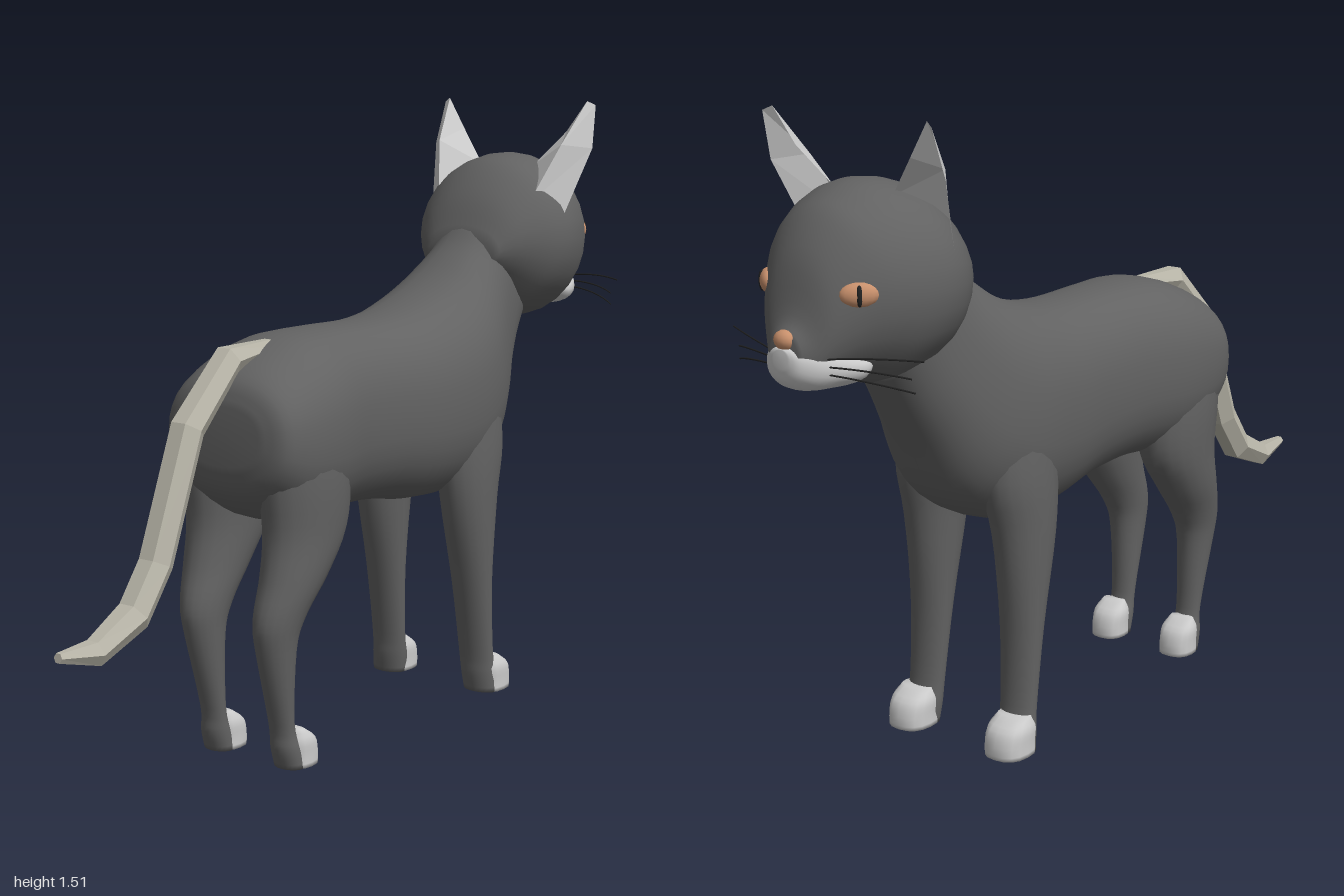
import * as THREE from 'three';

const V = (x, y, z) => new THREE.Vector3(x, y, z);
const mat = (color, extra = {}) => new THREE.MeshStandardMaterial({ color, ...extra });
const FUR = mat(0x626262), LIGHT = mat(0xcccccc), DARK = mat(0x222222);
const TAN = mat(0xc8906c), TAIL = mat(0xb8b5a8, { flatShading: true });
const EAR = mat(0xcccccc, { flatShading: true, side: THREE.DoubleSide });

// Closed skin over rings {c, u, v}: centre and two half axes; e < 1 makes the section boxier.
function loft(rings, { seg = 28, steps = 4, e = 1 } = {}) {
  const curves = ['c', 'u', 'v'].map(k => new THREE.CatmullRomCurve3(rings.map(r => r[k])));
  const n = (rings.length - 1) * steps, pos = [], idx = [];
  // uniform parameter so that centre and axes stay in step
  curves.forEach(k => { k.curveType = 'catmullrom'; });
  const pw = a => Math.sign(a) * Math.pow(Math.abs(a), e);
  for (let i = 0; i <= n; i++) {
    const [c, u, v] = curves.map(k => k.getPoint(i / n));
    for (let j = 0; j < seg; j++) {
      const a = (j / seg) * Math.PI * 2;
      pos.push(...c.clone().addScaledVector(u, pw(Math.cos(a))).addScaledVector(v, pw(Math.sin(a))).toArray());
    }
  }
  for (let i = 0; i < n; i++) for (let j = 0; j < seg; j++) {
    const a = i * seg + j, b = i * seg + (j + 1) % seg;
    idx.push(a, b, b + seg, a, b + seg, a + seg);
  }
  // end caps
  for (const [i, flip] of [[0, true], [n, false]]) {
    const m = pos.length / 3;
    pos.push(...curves[0].getPoint(i / n).toArray());
    for (let j = 0; j < seg; j++) {
      const a = i * seg + j, b = i * seg + (j + 1) % seg;
      idx.push(m, flip ? b : a, flip ? a : b);
    }
  }
  // turn the faces outward
  const p = i => V(pos[i * 3], pos[i * 3 + 1], pos[i * 3 + 2]);
  let vol = 0;
  for (let t = 0; t < idx.length; t += 3) vol += p(idx[t]).dot(p(idx[t + 1]).cross(p(idx[t + 2])));
  if (vol < 0) idx.reverse();
  const g = new THREE.BufferGeometry();
  g.setAttribute('position', new THREE.Float32BufferAttribute(pos, 3));
  g.setIndex(idx);
  g.computeVertexNormals();
  return g;
}

// Ring across the body: top z, y, bottom z, y, half width
const across = ([zt, yt, zb, yb, w]) => ({
  c: V(0, (yt + yb) / 2, (zt + zb) / 2), u: V(w, 0, 0), v: V(0, (yt - yb) / 2, (zt - zb) / 2),
});
// Upright ring for heads: z, top, bottom, half width
const upright = ([z, t, b, w]) => across([z, t, z, b, w]);
// Level ring for legs: y, front z, back z, inner x, outer x, on side s
const level = s => ([y, zf, zb, xi, xo]) => ({
  c: V(s * (xi + xo) / 2, y, (zf + zb) / 2), u: V((xo - xi) / 2, 0, 0), v: V(0, 0, (zb - zf) / 2),
});

export function createModel() {
  const model = new THREE.Group();
  const add = (name, geo, material, parent = model) => {
    const m = new THREE.Mesh(geo, material);
    m.name = name;
    parent.add(m);
    return m;
  };

  // Trunk and neck
  add('body', loft([
    [0.46, 0.86, 0.462, 0.72, 0.11], [0.435, 0.92, 0.44, 0.65, 0.175], [0.36, 0.967, 0.36, 0.585, 0.2],
    [0.25, 1.0, 0.24, 0.56, 0.204], [0.1, 1.003, 0.1, 0.565, 0.182], [-0.05, 1.0, -0.05, 0.555, 0.178],
    [-0.18, 1.01, -0.2, 0.53, 0.193], [-0.3, 1.04, -0.36, 0.53, 0.203], [-0.38, 1.075, -0.47, 0.575, 0.19],
    [-0.44, 1.115, -0.54, 0.64, 0.165], [-0.49, 1.155, -0.6, 0.75, 0.137], [-0.53, 1.2, -0.66, 0.85, 0.118],
    [-0.58, 1.25, -0.72, 0.95, 0.11],
  ].map(across), { seg: 36, e: 0.85 }), FUR);

  // Head
  const head = new THREE.Group();
  head.name = 'head';
  model.add(head);
  add('skull', loft([
    [-0.51, 1.17, 1.08, 0.1], [-0.56, 1.27, 1.03, 0.155], [-0.63, 1.345, 0.965, 0.205],
    [-0.7, 1.37, 0.945, 0.222], [-0.77, 1.37, 0.937, 0.21], [-0.83, 1.348, 0.955, 0.185],
    [-0.88, 1.312, 0.965, 0.15], [-0.93, 1.23, 0.965, 0.105], [-0.96, 1.12, 0.97, 0.07],
    [-0.985, 1.08, 0.99, 0.04],
  ].map(upright)), FUR, head);
  add('muzzle', loft([
    [-0.82, 1.03, 0.99, 0.1], [-0.86, 1.045, 0.96, 0.122], [-0.91, 1.055, 0.955, 0.108],
    [-0.955, 1.06, 0.958, 0.078], [-0.985, 1.055, 0.98, 0.045], [-0.995, 1.05, 1.01, 0.02],
  ].map(upright), { e: 0.9 }), LIGHT, head);
  const nose = add('nose', new THREE.SphereGeometry(1, 12, 8), TAN, head);
  nose.scale.set(0.027, 0.022, 0.02);
  nose.position.set(0, 1.068, -0.98);

  for (const s of [1, -1]) {
    const side = s > 0 ? 'left' : 'right';

    // Ear: a folded leaf, open to the face
    const P = [
      [0.08, 1.34, -0.73], [0.14, 1.25, -0.615], [0.205, 1.215, -0.68],
      [0.16, 1.43, -0.765], [0.19, 1.4, -0.69], [0.245, 1.39, -0.755],
      [0.215, 1.51, -0.775], [0.235, 1.5, -0.785],
    ];
    const ear = new THREE.BufferGeometry();
    ear.setAttribute('position', new THREE.Float32BufferAttribute(P.flatMap(([x, y, z]) => [s * x, y, z]), 3));
    ear.setIndex([0, 1, 4, 0, 4, 3, 1, 2, 5, 1, 5, 4, 3, 4, 6, 4, 5, 7, 4, 7, 6]);
    ear.computeVertexNormals();
    add(side + 'Ear', ear, EAR, head);

    // Eye with slit pupil
    const eye = new THREE.Group();
    eye.name = side + 'Eye';
    eye.position.set(s * 0.127, 1.163, -0.892);
    eye.rotation.y = s * Math.PI * 0.75;
    head.add(eye);
    add('iris', new THREE.SphereGeometry(1, 16, 10), TAN, eye).scale.set(0.042, 0.027, 0.02);
    const pupil = add('pupil', new THREE.SphereGeometry(1, 10, 8), DARK, eye);
    pupil.scale.set(0.007, 0.023, 0.008);
    pupil.position.z = 0.014;

    // Whiskers
    [[0.27, 1.038, -0.86], [0.245, 1.0, -0.87], [0.25, 0.97, -0.865]].forEach(([x, y, z], i) => {
      const y0 = 1.03 - i * 0.015;
      const path = new THREE.QuadraticBezierCurve3(
        V(s * 0.07, y0, -0.945), V(s * 0.17, (y0 + y) / 2 + 0.012, -0.925), V(s * x, y, z));
      add(side + 'Whisker', new THREE.TubeGeometry(path, 8, 0.002, 4), DARK, head);
    });

    // Legs
    const L = level(s);
    add(side + 'FrontLeg', loft([
      [0.82, -0.46, -0.28, 0.08, 0.185], [0.66, -0.48, -0.26, 0.055, 0.2], [0.52, -0.447, -0.275, 0.065, 0.2],
      [0.3, -0.42, -0.33, 0.08, 0.192], [0.11, -0.425, -0.362, 0.09, 0.188], [0.05, -0.44, -0.367, 0.092, 0.192],
      [0, -0.44, -0.375, 0.098, 0.194],
    ].map(L), { seg: 20 }), FUR);
    add(side + 'RearLeg', loft([
      [0.82, 0.2, 0.44, 0.05, 0.19], [0.68, 0.165, 0.432, 0.03, 0.2], [0.56, 0.175, 0.42, 0.035, 0.195],
      [0.46, 0.245, 0.435, 0.045, 0.185], [0.37, 0.315, 0.46, 0.055, 0.165], [0.29, 0.345, 0.45, 0.062, 0.152],
      [0.11, 0.35, 0.4, 0.07, 0.138], [0.05, 0.33, 0.395, 0.068, 0.145], [0, 0.32, 0.38, 0.068, 0.147],
    ].map(L), { seg: 20 }), FUR);

    // Paws
    const paw = (name, z, back, xi, xo) => add(name, loft([
      [0.092, z + 0.05, back - 0.015, xi + 0.012, xo - 0.012], [0.065, z + 0.012, back, xi, xo],
      [0.03, z, back, xi, xo], [0, z, back, xi, xo],
    ].map(L), { seg: 16, steps: 3, e: 0.8 }), LIGHT);
    paw(side + 'FrontPaw', -0.495, -0.378, 0.094, 0.2);
    paw(side + 'RearPaw', 0.275, 0.368, 0.064, 0.153);
  }

  // Tail: faceted, six sided: y, z, radius
  const spine = [
    [0.975, 0.28, 0.02], [0.962, 0.43, 0.037], [0.825, 0.573, 0.041], [0.54, 0.685, 0.041],
    [0.44, 0.76, 0.041], [0.385, 0.885, 0.032], [0.4, 0.995, 0.012],
  ];
  add('tail', loft(spine.map(([y, z, r], i) => {
    const a = spine[Math.max(i - 1, 0)], b = spine[Math.min(i + 1, spine.length - 1)];
    const d = V(0, b[0] - a[0], b[1] - a[1]).normalize();
    return { c: V(0, y, z), u: V(r, 0, 0), v: V(0, d.z, -d.y).multiplyScalar(r) };
  }), { seg: 6, steps: 1 }).toNonIndexed(), TAIL);

  return model;
}
